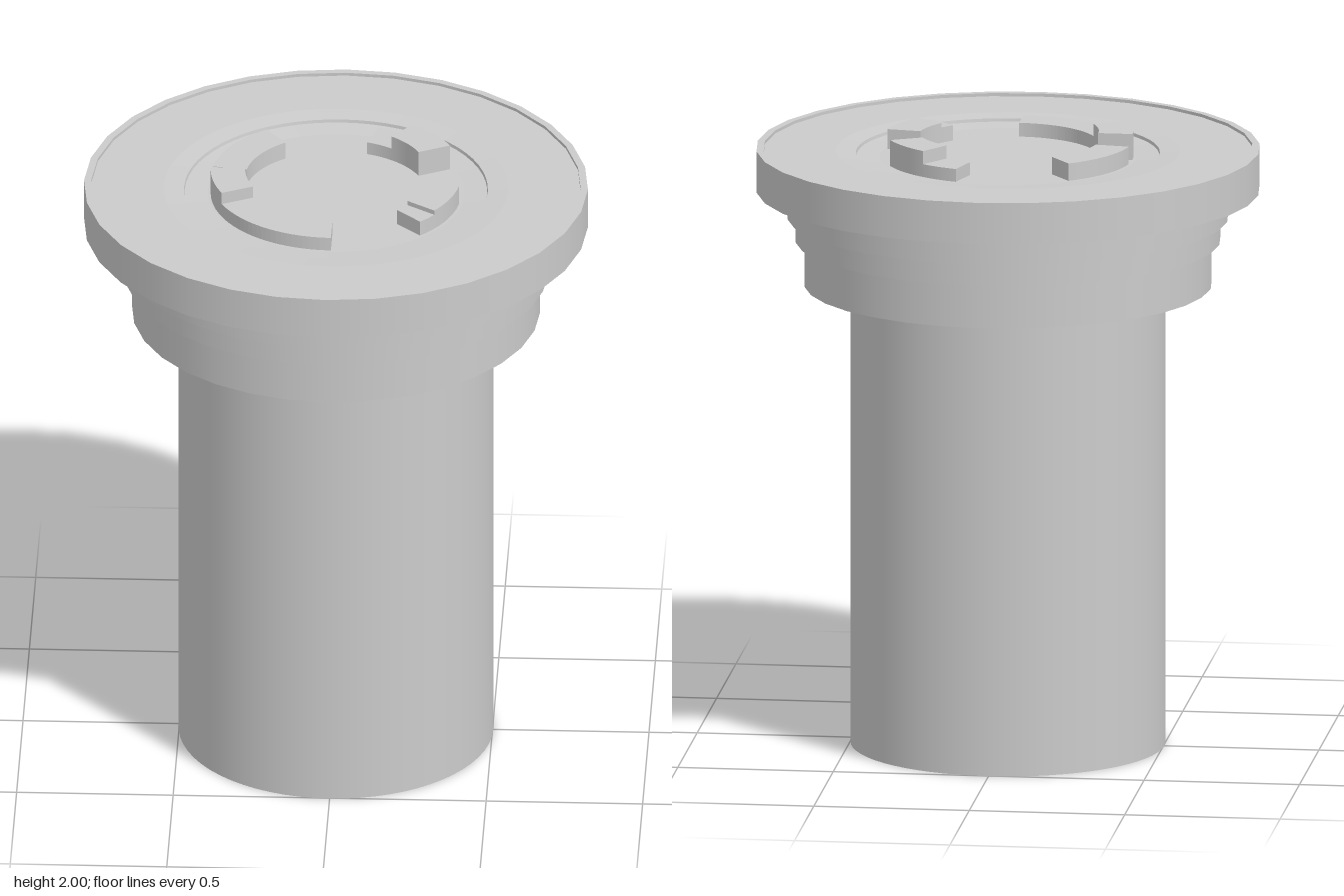
import * as THREE from 'three';

const material = new THREE.MeshStandardMaterial({ color: 0xcccccc, side: THREE.DoubleSide });

// Revolved surface; every profile segment is its own strip, so edges stay sharp.
function revolve(name, profile, sides) {
  const group = new THREE.Group();
  group.name = name;
  for (let i = 0; i < profile.length - 1; i++) {
    const points = [profile[i], profile[i + 1]].map(([r, y]) => new THREE.Vector2(r, y));
    const strip = new THREE.Mesh(new THREE.LatheGeometry(points, sides), material);
    strip.name = name + 'Strip';
    group.add(strip);
  }
  return group;
}

// Curved block between two angles in degrees, measured from +x towards +z.
function arcBlock(name, from, to, top) {
  const inner = 0.29, outer = 0.4, bottom = 1.905;
  const a = THREE.MathUtils.degToRad(from), b = THREE.MathUtils.degToRad(to);
  const shape = new THREE.Shape();
  shape.absarc(0, 0, outer, a, b, false);
  shape.absarc(0, 0, inner, b, a, true);
  shape.closePath();
  const geometry = new THREE.ExtrudeGeometry(shape, {
    depth: top - bottom, bevelEnabled: false, curveSegments: 12,
  });
  geometry.rotateX(Math.PI / 2);
  const mesh = new THREE.Mesh(geometry, material);
  mesh.name = name;
  mesh.position.y = top;
  return mesh;
}

export function createModel() {
  const model = new THREE.Group();
  model.name = 'flangedColumn';

  // Open tube
  model.add(revolve('column', [[0.503, 0], [0.503, 1.5]], 64));

  // Nested open skirts under the head
  const skirts = [[0.652, 1.5, 1.645], [0.68, 1.645, 1.72], [0.705, 1.72, 1.81]];
  for (const [r, low, high] of skirts) model.add(revolve('skirt', [[r, low], [r, high]], 32));

  // Head: outer rim with a thin lip around the top plate
  model.add(revolve('rim', [[0.805, 1.81], [0.805, 1.945], [0.782, 1.945], [0.782, 1.935]], 32));

  // Top plate with a shallow stepped dish
  model.add(revolve('topPlate', [
    [0.782, 1.935], [0.55, 1.935], [0.485, 1.93], [0.483, 1.92], [0.41, 1.915], [0, 1.915],
  ], 64));

  // Raised locking blocks: start angle, end angle, top height
  const blocks = [
    [188.6, 234, 1.972],
    [153.5, 180, 2], [90, 153.5, 1.96],
    [-54.5, -27, 2], [-72.5, -54.5, 1.957],
    [8.7, 36, 1.98], [36, 45.5, 1.965],
  ];
  for (const [from, to, top] of blocks) model.add(arcBlock('lockingBlock', from, to, top));

  return model;
}
